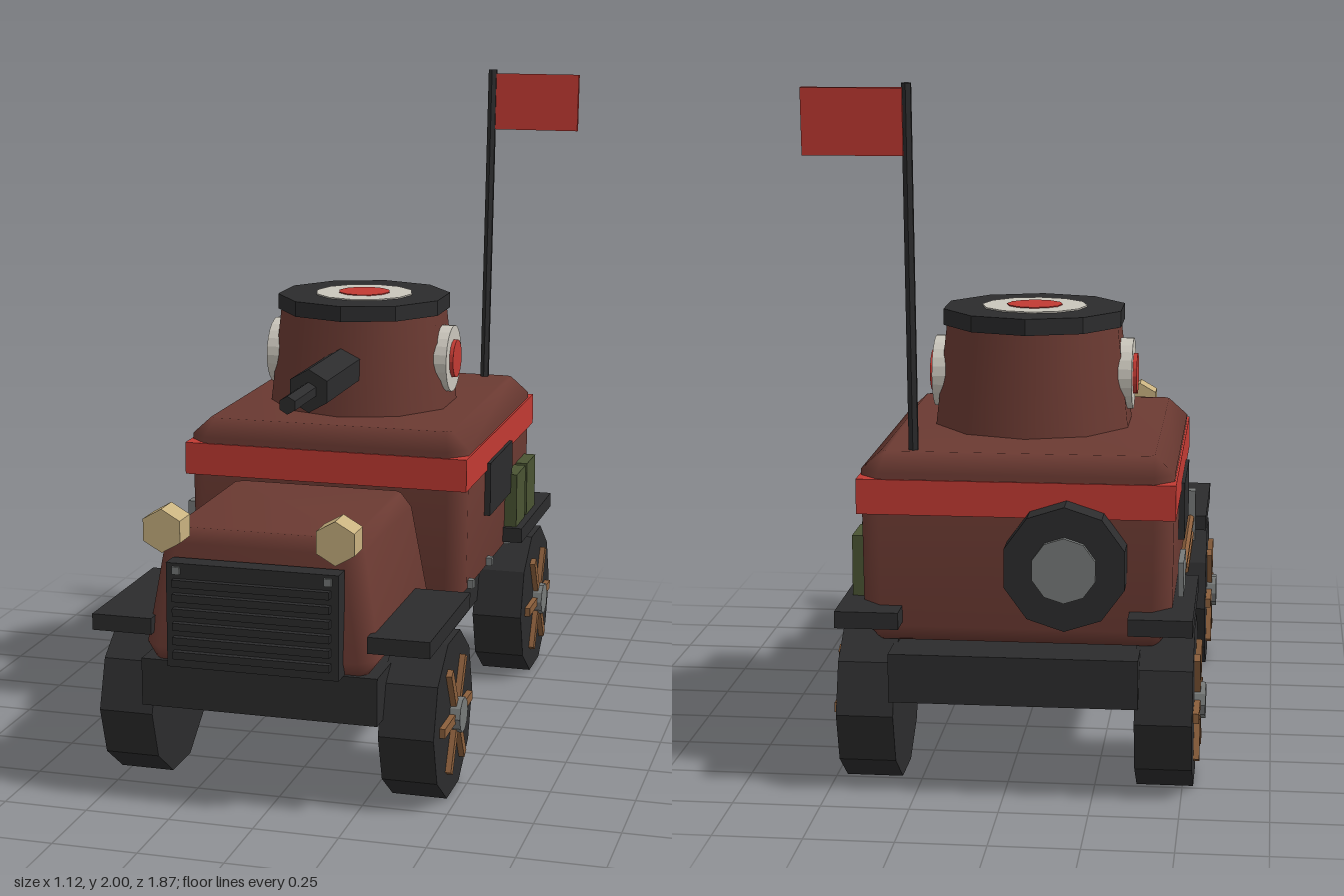
import * as THREE from 'three';

const paint = (name, color, flatShading = false) => {
  const m = new THREE.MeshStandardMaterial({ color });
  m.name = name;
  m.flatShading = flatShading;
  return m;
};

export function createModel() {
  const maroon = paint('maroon', 0x6b3a32);
  const red = paint('red', 0xc23a33, true);
  const black = paint('black', 0x2c2c2d, true);
  const brass = paint('brass', 0xc9b280, true);
  const green = paint('green', 0x4a5433, true);
  const wood = paint('wood', 0x8b5f3c, true);
  const metal = paint('metal', 0x777a79, true);
  const white = paint('white', 0xcac6bc, true);

  const model = new THREE.Group();
  model.name = 'armouredCar';
  const car = new THREE.Group();
  car.name = 'car';
  car.position.x = -0.03;
  model.add(car);

  const add = (name, geo, mat, x = 0, y = 0, z = 0, parent = car) => {
    const mesh = new THREE.Mesh(geo, mat);
    mesh.name = name;
    mesh.position.set(x, y, z);
    parent.add(mesh);
    return mesh;
  };
  const box = (w, h, d) => new THREE.BoxGeometry(w, h, d);
  const cyl = (rTop, rBottom, length, sides, axis = 'y') => {
    const g = new THREE.CylinderGeometry(rTop, rBottom, length, sides);
    if (axis === 'x') g.rotateZ(-Math.PI / 2);
    if (axis === 'z') g.rotateX(Math.PI / 2);
    return g;
  };

  // Bevelled shell from stacked eight-sided rings: [y, half width, half depth, corner cut]
  const shell = (rings) => {
    const pos = [], idx = [];
    for (const [y, w, d, c] of rings) {
      const ring = [[w, d - c], [w, c - d], [w - c, -d], [c - w, -d],
        [-w, c - d], [-w, d - c], [c - w, d], [w - c, d]];
      for (const [x, z] of ring) pos.push(x, y, z);
    }
    const last = (rings.length - 1) * 8;
    for (let r = 0; r < last; r += 8) {
      for (let i = 0; i < 8; i++) {
        const a = r + i, b = r + (i + 1) % 8;
        idx.push(a, b, b + 8, a, b + 8, a + 8);
      }
    }
    for (let i = 1; i < 7; i++) {
      idx.push(0, i + 1, i, last, last + i, last + i + 1);
    }
    const g = new THREE.BufferGeometry();
    g.setAttribute('position', new THREE.Float32BufferAttribute(pos, 3));
    g.setIndex(idx);
    g.computeVertexNormals();
    return g;
  };

  // Chassis, hood and cabin
  add('chassis', box(0.7, 0.14, 1.76), black, 0, 0.35, -0.03);
  add('hood', shell([[0.42, 0.315, 0.32, 0.02], [0.46, 0.345, 0.341, 0.05],
    [0.765, 0.295, 0.312, 0.05], [0.805, 0.262, 0.285, 0.02]]), maroon, 0, 0, 0.516);
  add('cabin', shell([[0.43, 0.395, 0.465, 0.015], [0.48, 0.437, 0.505, 0.055],
    [0.92, 0.442, 0.505, 0.055], [0.973, 0.385, 0.455, 0.015]]), maroon, 0, 0, -0.325);
  add('stripe', box(0.895, 0.1, 1.02), red, 0, 0.852, -0.325);

  // Radiator grille with slats and bolts
  add('grille', box(0.505, 0.305, 0.06), black, 0, 0.573, 0.87);
  for (let i = 0; i < 6; i++) {
    add('grilleSlat', box(0.46, 0.022, 0.022), black, 0, 0.46 + i * 0.042, 0.908);
  }
  for (const s of [-1, 1]) {
    add('grilleBolt', box(0.022, 0.022, 0.012), metal, s * 0.222, 0.705, 0.902);
    add('headlamp', cyl(0.063, 0.063, 0.085, 6, 'z'), brass, s * 0.252, 0.825, 0.89);
  }

  // Wheels, fenders, windows and rivets on both sides
  for (const s of [-1, 1]) {
    for (const [z, fenderZ] of [[0.557, 0.597], [-0.656, -0.66]]) {
      const wheel = new THREE.Group();
      wheel.name = 'wheel';
      wheel.position.set(s * 0.42, 0.234, z);
      car.add(wheel);
      add('tyre', cyl(0.245, 0.245, 0.162, 10, 'x'), black, 0, 0, 0, wheel);
      for (let i = 0; i < 3; i++) {
        const spoke = add('spokes', box(0.03, 0.028, 0.35), wood, s * 0.083, 0, 0, wheel);
        spoke.rotation.x = i * Math.PI / 3;
      }
      add('hub', cyl(0.052, 0.052, 0.04, 10, 'x'), metal, s * 0.092, 0, 0, wheel);
      add('fender', box(0.18, 0.048, 0.5), black, s * 0.41, 0.515, fenderZ);
    }
    add('sideWindow', box(0.04, 0.17, 0.335), black, s * 0.438, 0.74, -0.28);
    for (const z of [0.095, -0.17, -0.44, -0.71]) {
      add('rivet', box(0.03, 0.026, 0.026), metal, s * 0.44, 0.492, z);
    }
  }

  // Fuel cans on the left side
  for (const z of [-0.498, -0.664]) {
    add('fuelCan', box(0.06, 0.18, 0.14), green, 0.448, 0.625, z);
  }

  // Shovel and axe on the right side
  add('shovelHandle', cyl(0.013, 0.013, 0.68, 6, 'z'), wood, -0.458, 0.6, -0.2);
  add('shovelBlade', box(0.016, 0.1, 0.16), metal, -0.458, 0.6, -0.62);
  add('axeHandle', cyl(0.013, 0.013, 0.5, 6, 'z'), wood, -0.458, 0.55, -0.14);
  add('axeHead', box(0.024, 0.16, 0.04), metal, -0.462, 0.61, 0.07);

  // Spare wheel on the back
  add('spareTyre', cyl(0.176, 0.176, 0.11, 10, 'z'), black, -0.145, 0.678, -0.865);
  add('spareHub', cyl(0.092, 0.092, 0.03, 10, 'z'), metal, -0.145, 0.678, -0.92);

  // Turret with roof plate and round markings
  const turret = new THREE.Group();
  turret.name = 'turret';
  turret.position.z = -0.283;
  car.add(turret);
  add('turretWall', cyl(0.265, 0.302, 0.33, 10), maroon, 0, 1.115, 0, turret);
  add('turretRoof', cyl(0.276, 0.276, 0.048, 10), black, 0, 1.294, 0, turret);
  add('roofRing', cyl(0.157, 0.157, 0.006, 12), white, 0, 1.319, 0, turret);
  add('roofSpot', cyl(0.083, 0.083, 0.006, 12), red, 0, 1.322, 0, turret);
  for (const s of [-1, 1]) {
    add('sideRing', cyl(0.106, 0.106, 0.05, 24, 'x'), white, s * 0.271, 1.12, 0, turret);
    add('sideSpot', cyl(0.061, 0.061, 0.02, 16, 'x'), red, s * 0.298, 1.12, 0, turret);
  }

  // Gun
  add('gunMantle', cyl(0.066, 0.066, 0.41, 6, 'z'), black, 0, 1.12, 0.42, turret);
  add('gunBarrel', cyl(0.027, 0.027, 0.25, 6, 'z'), black, 0, 1.12, 0.713, turret);

  // Leaning flagpole and flag
  const foot = new THREE.Vector3(0.295, 0.94, -0.75);
  const tip = new THREE.Vector3(0.295, 2, -0.826);
  const dir = tip.clone().sub(foot);
  const pole = add('flagpole', cyl(0.015, 0.015, dir.length(), 6), black);
  pole.position.copy(foot).add(tip).multiplyScalar(0.5);
  pole.quaternion.setFromUnitVectors(new THREE.Vector3(0, 1, 0), dir.normalize());
  const flag = add('flag', box(0.28, 0.185, 0.018), red, 0.445, 1.895, -0.825);
  flag.rotation.x = -0.07;

  return model;
}
